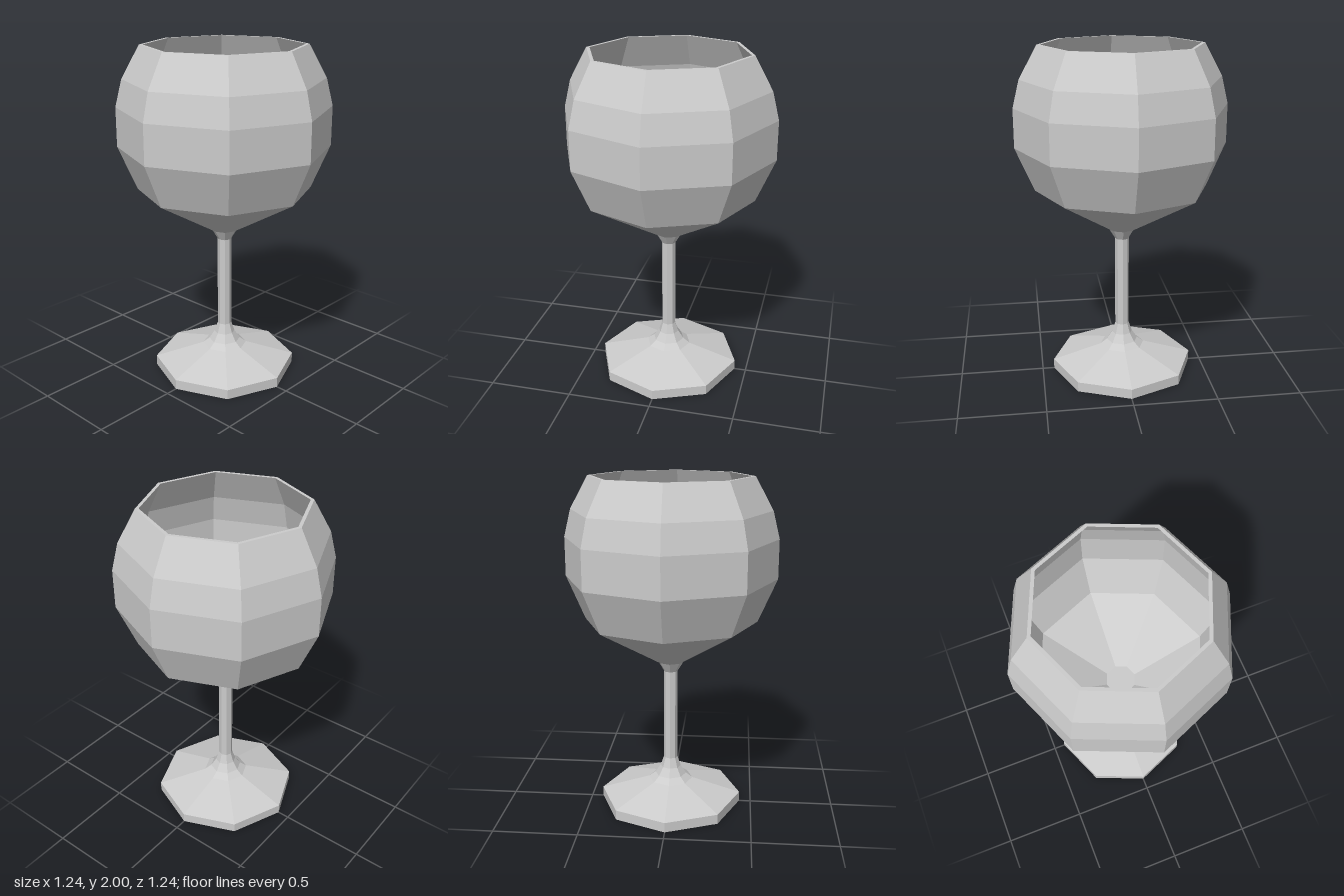
import * as THREE from 'three';

const SIDES = 8;
const material = new THREE.MeshStandardMaterial({ color: 0xcccccc, flatShading: true });

// Turns a [radius, height] profile into a faceted eight-sided part
function turned(name, profile) {
  const points = profile.map(([r, y]) => new THREE.Vector2(r, y));
  const mesh = new THREE.Mesh(new THREE.LatheGeometry(points, SIDES), material);
  mesh.name = name;
  return mesh;
}

export function createModel() {
  const glass = new THREE.Group();
  glass.name = 'wineGlass';

  // Flat-bottomed foot with a short rim and sloping top
  glass.add(turned('foot', [[0, 0], [0.43, 0], [0.43, 0.06], [0.135, 0.15]]));

  // Stem, flared at both ends
  glass.add(turned('stem', [
    [0.135, 0.15], [0.095, 0.18], [0.062, 0.23], [0.042, 0.29],
    [0.042, 0.85], [0.078, 0.91],
  ]));

  // Hollow bowl: outside up to the rim, then down the inside to a flat floor
  glass.add(turned('bowl', [
    [0.078, 0.91], [0.51, 1.165], [0.62, 1.42], [0.62, 1.65], [0.58, 1.81], [0.475, 2],
    [0.455, 2], [0.56, 1.805], [0.6, 1.645], [0.6, 1.425], [0.495, 1.18], [0.09, 0.94], [0, 0.94],
  ]));

  return glass;
}
